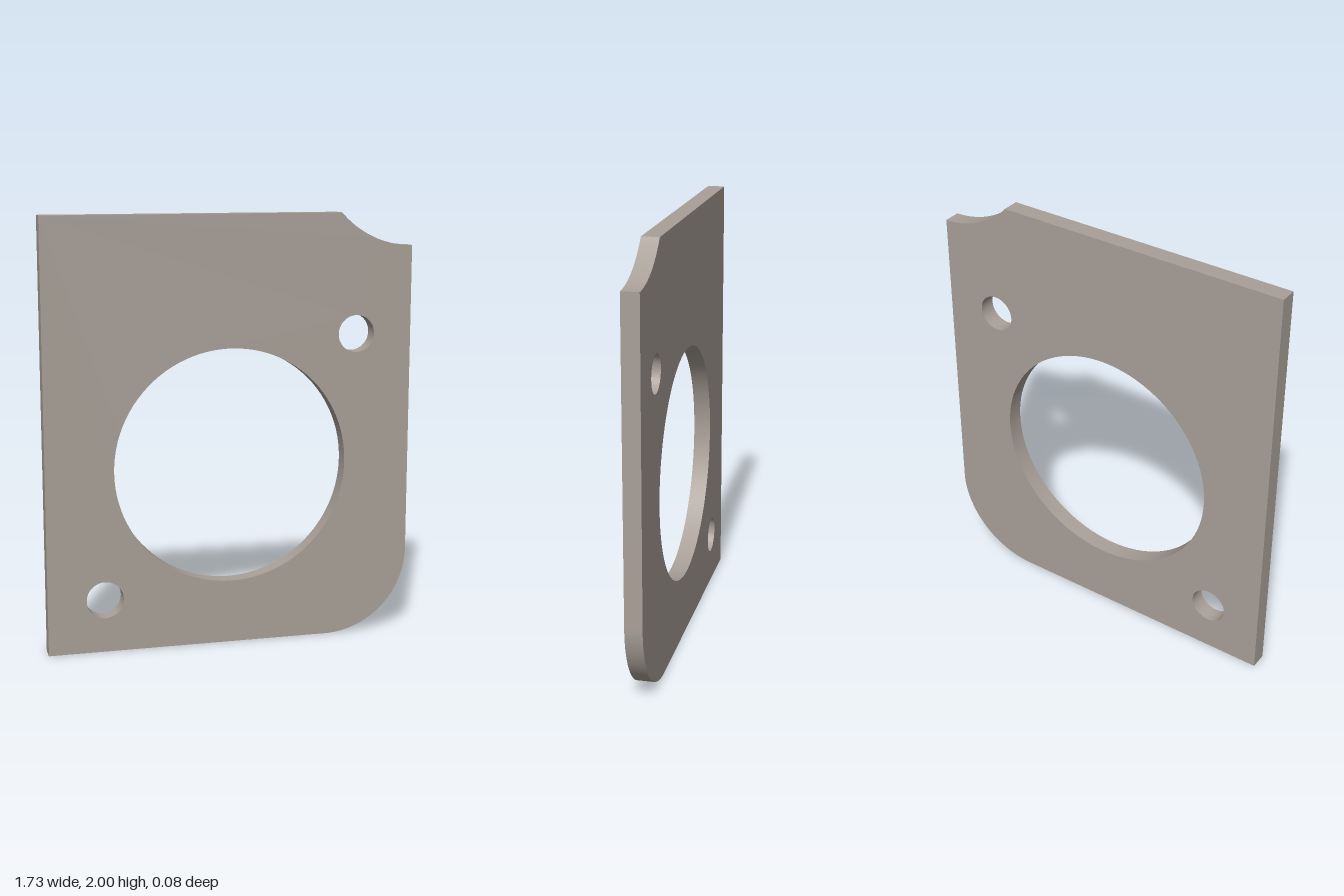
import * as THREE from 'three';
import { toCreasedNormals } from 'three/addons/utils/BufferGeometryUtils.js';

const HALF_WIDTH = 0.863, HEIGHT = 2, THICKNESS = 0.08;
const CORNER_RADIUS = 0.4, NOTCH_RADIUS = 0.46, NOTCH_DEPTH = 0.153;

function circleHole(x, y, radius) {
  return new THREE.Path().absarc(x, y, radius, 0, Math.PI * 2, true);
}

export function createModel() {
  const group = new THREE.Group();
  group.name = 'mountingPlate';

  // Outline: square left corners, rounded lower right, concave notch upper right
  const notchY = HEIGHT - NOTCH_DEPTH + NOTCH_RADIUS;
  const notchEnd = -Math.PI + Math.asin((notchY - HEIGHT) / NOTCH_RADIUS);
  const outline = new THREE.Shape();
  outline.moveTo(-HALF_WIDTH, 0);
  outline.lineTo(HALF_WIDTH - CORNER_RADIUS, 0);
  outline.absarc(HALF_WIDTH - CORNER_RADIUS, CORNER_RADIUS, CORNER_RADIUS, -Math.PI / 2, 0, false);
  outline.lineTo(HALF_WIDTH, HEIGHT - NOTCH_DEPTH);
  outline.absarc(HALF_WIDTH, notchY, NOTCH_RADIUS, -Math.PI / 2, notchEnd, true);
  outline.lineTo(-HALF_WIDTH, HEIGHT);
  outline.closePath();

  // Central bore and two diagonal bolt holes
  const boreY = 0.845, boltOffset = 0.598;
  outline.holes.push(circleHole(0, boreY, 0.548));
  for (const side of [-1, 1]) {
    outline.holes.push(circleHole(side * boltOffset, boreY + side * boltOffset, 0.086));
  }

  const solid = new THREE.ExtrudeGeometry(outline, {
    depth: THICKNESS, bevelEnabled: false, curveSegments: 48,
  });
  solid.translate(0, 0, -THICKNESS / 2);

  const plate = new THREE.Mesh(
    toCreasedNormals(solid, Math.PI / 6),
    new THREE.MeshStandardMaterial({ color: 0xa9a098 }),
  );
  plate.name = 'plate';
  group.add(plate);
  return group;
}
